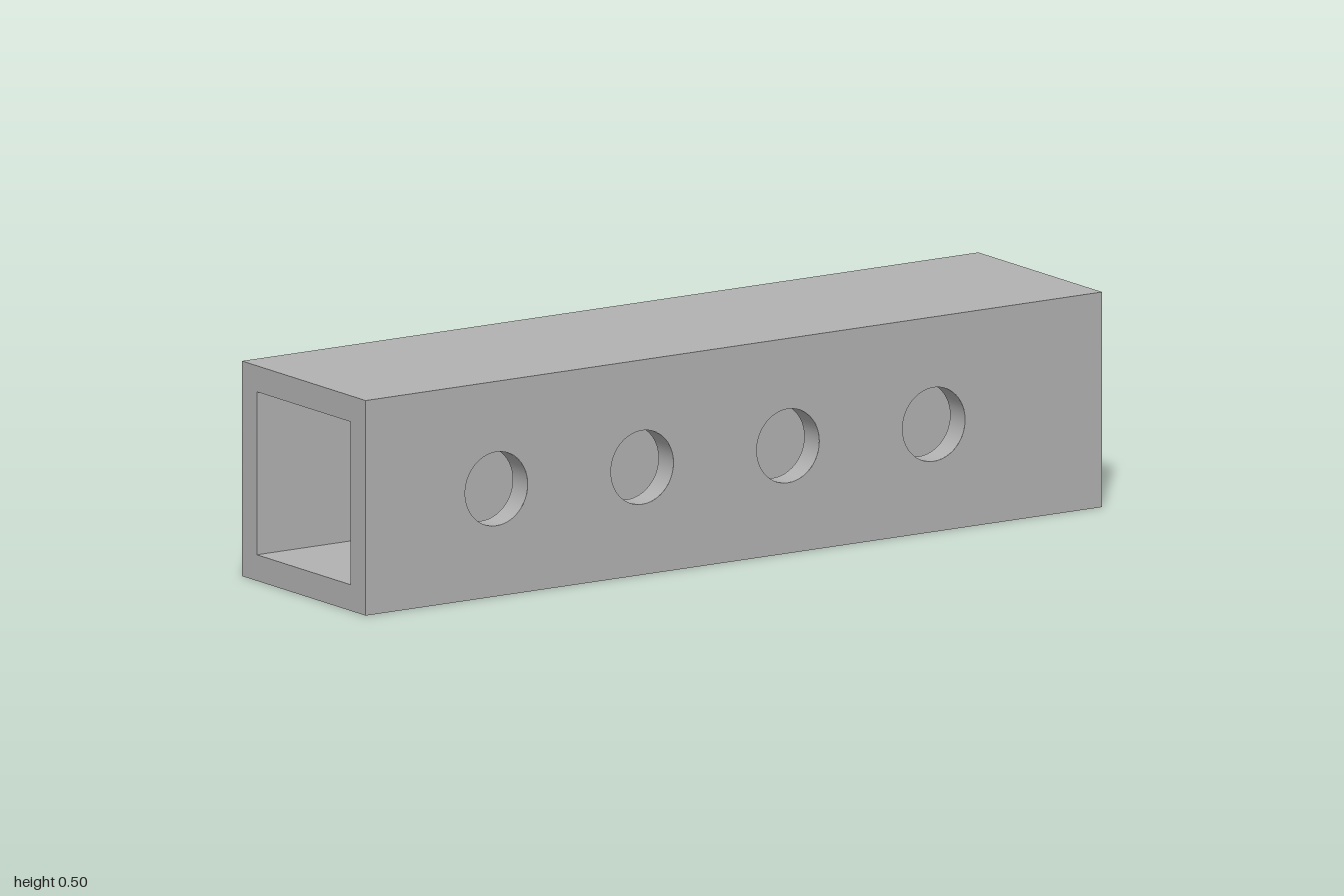
import * as THREE from 'three';

const L = 2, S = 0.495, WALL = 0.06;          // length, outer section, wall thickness
const INNER = S - 2 * WALL;
const HOLE_R = 0.085, SEG = 48;
const HOLE_X = [0, 1, 2, 3].map(i => -0.645 + i * 0.396);

function rect(w, h, PathType = THREE.Shape) {
  return new PathType([
    new THREE.Vector2(-w / 2, -h / 2), new THREE.Vector2(w / 2, -h / 2),
    new THREE.Vector2(w / 2, h / 2), new THREE.Vector2(-w / 2, h / 2),
  ]);
}

// Flat side skin with the row of round holes; dir is the z direction it faces
function drilledSkin(height, z, dir) {
  const shape = rect(L, height);
  for (const x of HOLE_X) {
    const hole = new THREE.Path();
    hole.absarc(x * dir, 0, HOLE_R, 0, Math.PI * 2, true);
    shape.holes.push(hole);
  }
  const geo = new THREE.ShapeGeometry(shape, SEG);
  if (dir < 0) geo.rotateY(Math.PI);
  return geo.translate(0, 0, z);
}

export function createModel() {
  const grey = new THREE.MeshStandardMaterial({ color: 0xb2b2b2 });
  grey.name = 'grey metal';

  const model = new THREE.Group();
  model.name = 'drilledSquareTube';
  const tube = new THREE.Group();
  tube.name = 'tube';
  tube.position.y = S / 2;
  model.add(tube);

  const add = (name, geo) => {
    const mesh = new THREE.Mesh(geo, grey);
    mesh.name = name;
    tube.add(mesh);
  };

  for (const s of [1, -1]) {
    const side = s > 0 ? 'front' : 'back';
    const level = s > 0 ? 'top' : 'bottom';

    // Drilled front and back walls
    add(side + 'WallOutside', drilledSkin(S, s * S / 2, s));
    add(side + 'WallInside', drilledSkin(INNER, s * INNER / 2, -s));

    // Bores through the wall, facing the hole axis
    for (const x of HOLE_X) {
      const bore = new THREE.LatheGeometry([
        new THREE.Vector2(HOLE_R, WALL / 2), new THREE.Vector2(HOLE_R, -WALL / 2),
      ], SEG);
      bore.rotateX(Math.PI / 2).translate(x, 0, s * (S - WALL) / 2);
      add(side + 'HoleBore', bore);
    }

    // Plain top and bottom walls
    add(level + 'WallOutside',
      new THREE.PlaneGeometry(L, S).rotateX(-s * Math.PI / 2).translate(0, s * S / 2, 0));
    add(level + 'WallInside',
      new THREE.PlaneGeometry(L, INNER).rotateX(s * Math.PI / 2).translate(0, s * INNER / 2, 0));

    // Square rim at each open end
    const rim = rect(S, S);
    rim.holes.push(rect(INNER, INNER, THREE.Path));
    add(s > 0 ? 'leftEndRim' : 'rightEndRim',
      new THREE.ShapeGeometry(rim).rotateY(s * Math.PI / 2).translate(s * L / 2, 0, 0));
  }
  return model;
}
